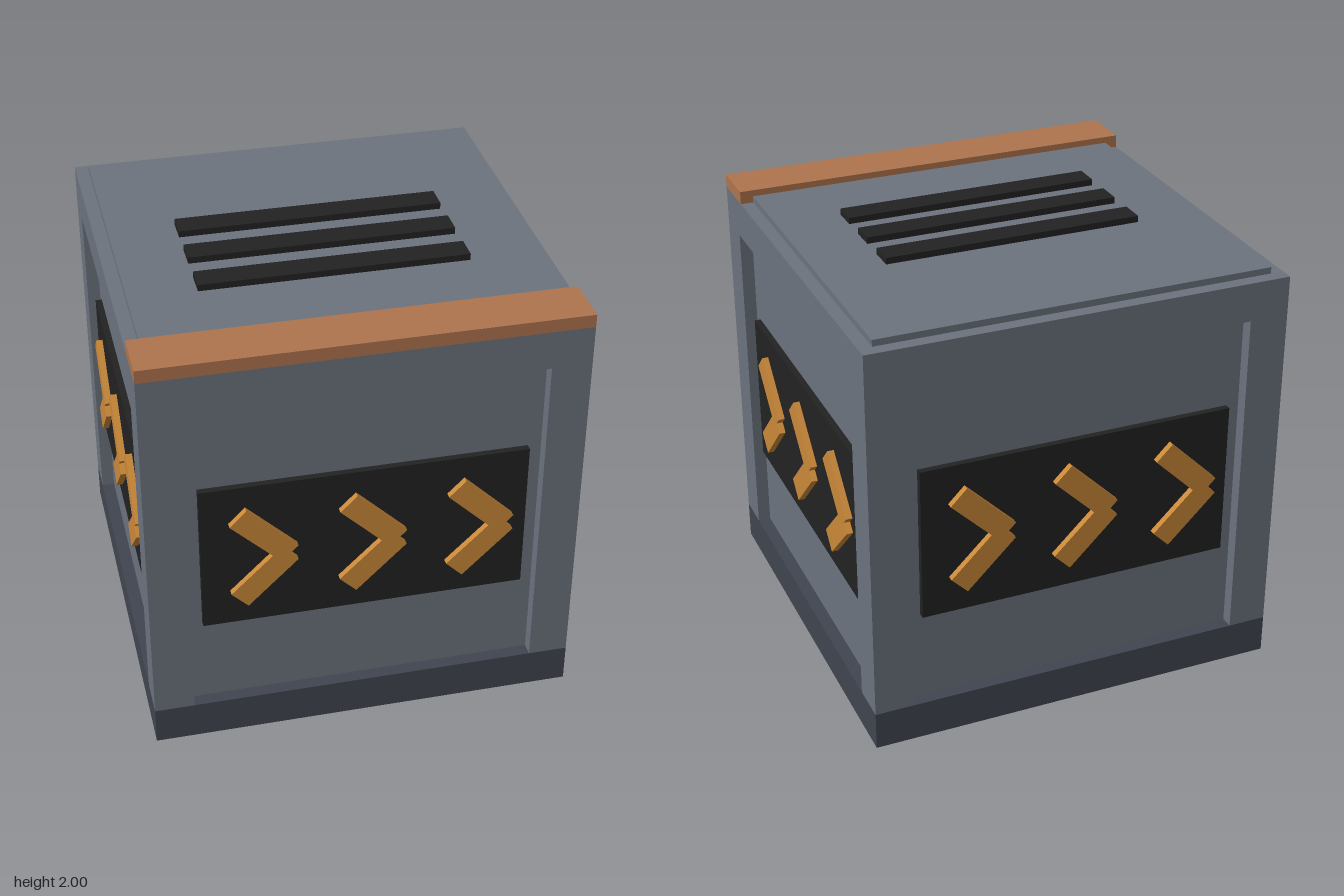
import * as THREE from 'three';

const mat = (name, color) => {
  const m = new THREE.MeshStandardMaterial({ color });
  m.name = name;
  return m;
};

export function createModel() {
  const steel = mat('steelGrey', 0x6c737e);
  const slate = mat('darkSlate', 0x40454f);
  const black = mat('black', 0x222222);
  const amber = mat('amber', 0xc98839);
  const copper = mat('copper', 0xae744d);

  const model = new THREE.Group();
  model.name = 'crate';

  // Box given by its minimum and maximum corners
  const box = (parent, name, material, min, max) => {
    const size = max.map((v, i) => v - min[i]);
    const mesh = new THREE.Mesh(new THREE.BoxGeometry(...size), material);
    mesh.position.set(...max.map((v, i) => (v + min[i]) / 2));
    mesh.name = name;
    parent.add(mesh);
  };

  const H = 0.97;      // half width of the crate
  const IN = 0.91;     // half width of the recessed core
  const OPEN = 0.79;   // half width of the recess opening
  const BASE = 0.18, TOP = 1.94;

  // Base plinth and recessed core
  box(model, 'base', slate, [-H, 0, -H], [H, BASE, H]);
  box(model, 'core', steel, [-IN, BASE, -IN], [IN, TOP, IN]);

  // Chevron outline: two crossed bars with a notched tip
  const chevron = new THREE.ExtrudeGeometry(new THREE.Shape([
    [-0.15, 0.183], [0.037, 0], [-0.15, -0.183], [-0.075, -0.258],
    [0.15, -0.037], [0.113, 0], [0.15, 0.037], [-0.075, 0.258],
  ].map(([x, y]) => new THREE.Vector2(x, y))), { depth: 0.03, bevelEnabled: false });

  // Four identical sides: corner post, top rail, sign board and chevrons
  for (let i = 0; i < 4; i++) {
    const side = new THREE.Group();
    side.name = ['frontSide', 'leftSide', 'backSide', 'rightSide'][i];
    side.rotation.y = i * Math.PI / 2;
    box(side, 'cornerPost', steel, [OPEN, BASE, OPEN], [H, TOP, H]);
    box(side, 'topRail', steel, [-OPEN, 1.76, IN], [OPEN, TOP, H]);
    box(side, 'signBoard', black, [-0.73, 0.61, IN], [0.73, 1.335, 0.94]);
    for (let k = -1; k <= 1; k++) {
      const arrow = new THREE.Mesh(chevron, amber);
      arrow.name = 'chevron';
      arrow.position.set(0.03 + k * 0.485, 0.972, 0.94);
      side.add(arrow);
    }
    model.add(side);
  }

  // Lid plate, front edge band and vent slats
  box(model, 'lidPlate', steel, [-IN, TOP, -IN], [IN, 1.97, 0.73]);
  box(model, 'edgeBand', copper, [-H, TOP, 0.73], [H, 2, H]);
  for (const z of [-0.182, 0.06, 0.302])
    box(model, 'ventSlat', black, [-0.605, 1.97, z - 0.06], [0.605, 2, z + 0.06]);

  return model;
}
